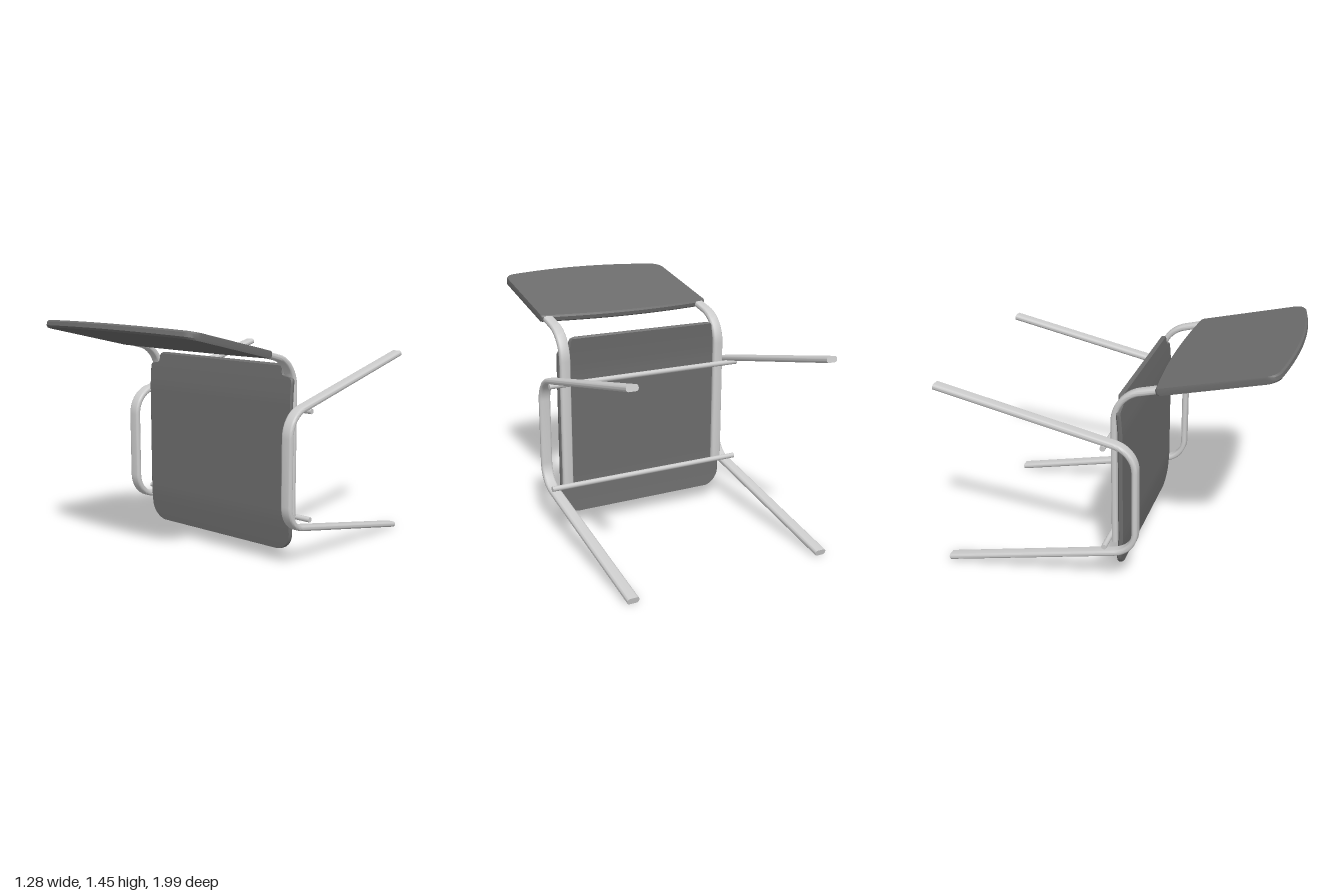
import * as THREE from 'three';
import { toCreasedNormals } from 'three/addons/utils/BufferGeometryUtils.js';

const metal = new THREE.MeshStandardMaterial({ color: 0xcccccc });
const shell = new THREE.MeshStandardMaterial({ color: 0x6c6c6c });

// Skin a list of equal-length closed rings and cap both ends
function loft(rings, crease = 0.6) {
  const n = rings[0].length, pts = rings.flat(), index = [];
  for (let i = 0; i < rings.length - 1; i++) {
    for (let j = 0; j < n; j++) {
      const a = i * n + j, b = i * n + (j + 1) % n;
      index.push(a, b, a + n, b, b + n, a + n);
    }
  }
  const last = (rings.length - 1) * n;
  for (let j = 1; j < n - 1; j++) index.push(0, j + 1, j, last, last + j, last + j + 1);
  // Turn the skin outwards if its enclosed volume is negative
  let volume = 0;
  for (let i = 0; i < index.length; i += 3) {
    const [a, b, c] = [0, 1, 2].map(k => pts[index[i + k]]);
    volume += a.dot(b.clone().cross(c));
  }
  if (volume < 0) index.reverse();
  const g = new THREE.BufferGeometry().setFromPoints(pts);
  g.setIndex(index);
  return toCreasedNormals(g, crease);
}

// Path in the side plane, as [z, y] corners, with each inner corner rounded
function roundedPath(corners, reach) {
  const p = corners.map(([z, y]) => new THREE.Vector3(0, y, z));
  const out = [p[0]];
  for (let i = 1; i < p.length - 1; i++) {
    const toward = (q, d) => p[i].clone().add(q.clone().sub(p[i]).setLength(d));
    const k = reach * 0.42;
    out.push(...new THREE.CubicBezierCurve3(toward(p[i - 1], reach), toward(p[i - 1], k),
      toward(p[i + 1], k), toward(p[i + 1], reach)).getPoints(14));
  }
  out.push(p[p.length - 1]);
  return out;
}

// Flat-oval tube swept along a side-plane path
function ovalTube(path, x, width, thick) {
  const r = thick * 0.42, profile = [];
  for (let q = 0; q < 4; q++) {
    for (let k = 0; k <= 4; k++) {
      const a = (q + k / 4) * Math.PI / 2;
      const sx = q === 0 || q === 3 ? 1 : -1, sy = q < 2 ? 1 : -1;
      profile.push([sx * (width / 2 - r) + r * Math.cos(a), sy * (thick / 2 - r) + r * Math.sin(a)]);
    }
  }
  return loft(path.map((p, i) => {
    const t = path[Math.min(i + 1, path.length - 1)].clone().sub(path[Math.max(i - 1, 0)]).normalize();
    return profile.map(([u, v]) => new THREE.Vector3(x + u, p.y - v * t.z, p.z + v * t.y));
  }));
}

// Chamfered slab: rows of [s, from, to, halfThickness], placed by a mapping
function slab(rows, bevel, place) {
  return loft(rows.map(([s, a, b, h]) => {
    const e = Math.max(h - bevel, h * 0.4);
    return [[a, -e], [a + bevel, -h], [b - bevel, -h], [b, -e],
      [b, e], [b - bevel, h], [a + bevel, h], [a, e]].map(([u, n]) => place(s, u, n));
  }), 0.45);
}

// How far a rounded corner of radius r pulls the edge in, at distance d from the end
const pull = (d, r) => d < r ? r - Math.sqrt(r * r - (r - d) ** 2) : 0;

function seatGeometry() {
  const T = 0.014, rows = [];
  for (let i = 0; i <= 10; i++) {
    const d = 0.11 * (1 - Math.cos(i / 10 * Math.PI / 2));
    rows.push([0.088 + d, 0.56 - pull(d, 0.11), i === 0 ? 0.007 : T]);
  }
  for (let y = 0.235; y < 1.09; y += 0.035) rows.push([y, 0.56, T]);
  // Notched upper corners that clear the frame tubes
  rows.push([1.098, 0.56, T], [1.112, 0.553, T], [1.119, 0.535, T], [1.122, 0.508, T],
    [1.128, 0.495, T], [1.14, 0.49, T], [1.165, 0.488, T], [1.18, 0.48, T], [1.189, 0.46, 0.007]);
  // Both ends curl gently backwards
  const bend = y => 0.083 - 0.018 * (Math.max(0, 0.3 - y, y - 0.97) / 0.21) ** 1.3;
  return slab(rows.map(([y, w, h]) => [y, -w, w, h]), 0.009,
    (y, x, n) => new THREE.Vector3(x, y, bend(y) + n));
}

function backrestGeometry() {
  const W = 0.57, R = 0.06, T = 0.021, half = [];
  for (let i = 0; i <= 8; i++) half.push(W - R * (1 - Math.cos(i / 8 * Math.PI / 2)));
  for (let i = 1; i <= 8; i++) half.push((W - R) * (1 - i / 8));
  const xs = [...half.map(x => -x), ...half.slice(0, -1).reverse()];
  const rows = xs.map(x => {
    const d = Math.max(0, W - Math.abs(x)), k = (x / W) ** 2;
    return [x, 0.252 + 0.033 * k + pull(d, 0.015), 0.992 - 0.06 * k - pull(d, R), d < 0.001 ? 0.012 : T];
  });
  return slab(rows, 0.01, (x, z, n) =>
    new THREE.Vector3(x, 1.263 + (z - 0.28) * 0.24 + n * 0.972, z - n * 0.233));
}

export function createModel() {
  const group = new THREE.Group();
  const add = (name, geometry, material) => {
    const mesh = new THREE.Mesh(geometry, material);
    mesh.name = name;
    group.add(mesh);
    return mesh;
  };

  add('seat', seatGeometry(), shell);
  add('backrest', backrestGeometry(), shell);

  // Side frames: bent leg loops and the tubes carrying seat and backrest
  const legPath = roundedPath([[-0.996, 1.167], [0.188, 0.915], [0.188, 0.269], [-0.996, 0.017]], 0.125);
  const supportPath = roundedPath([[0.045, 0.27], [0.045, 1.203], [0.42, 1.297]], 0.15);
  for (const [side, s] of [['left', 1], ['right', -1]]) {
    add(side + 'LegLoop', ovalTube(legPath, s * 0.605, 0.07, 0.035), metal);
    add(side + 'SeatSupport', ovalTube(supportPath, s * 0.525, 0.066, 0.035), metal);
  }

  // Cross bars joining the two sides
  for (const [name, y] of [['upperCrossBar', 0.924], ['lowerCrossBar', 0.283]]) {
    const bar = add(name, new THREE.CylinderGeometry(0.016, 0.016, 1.285, 16), metal);
    bar.rotation.z = Math.PI / 2;
    bar.position.set(0, y, 0.008);
  }
  return group;
}
